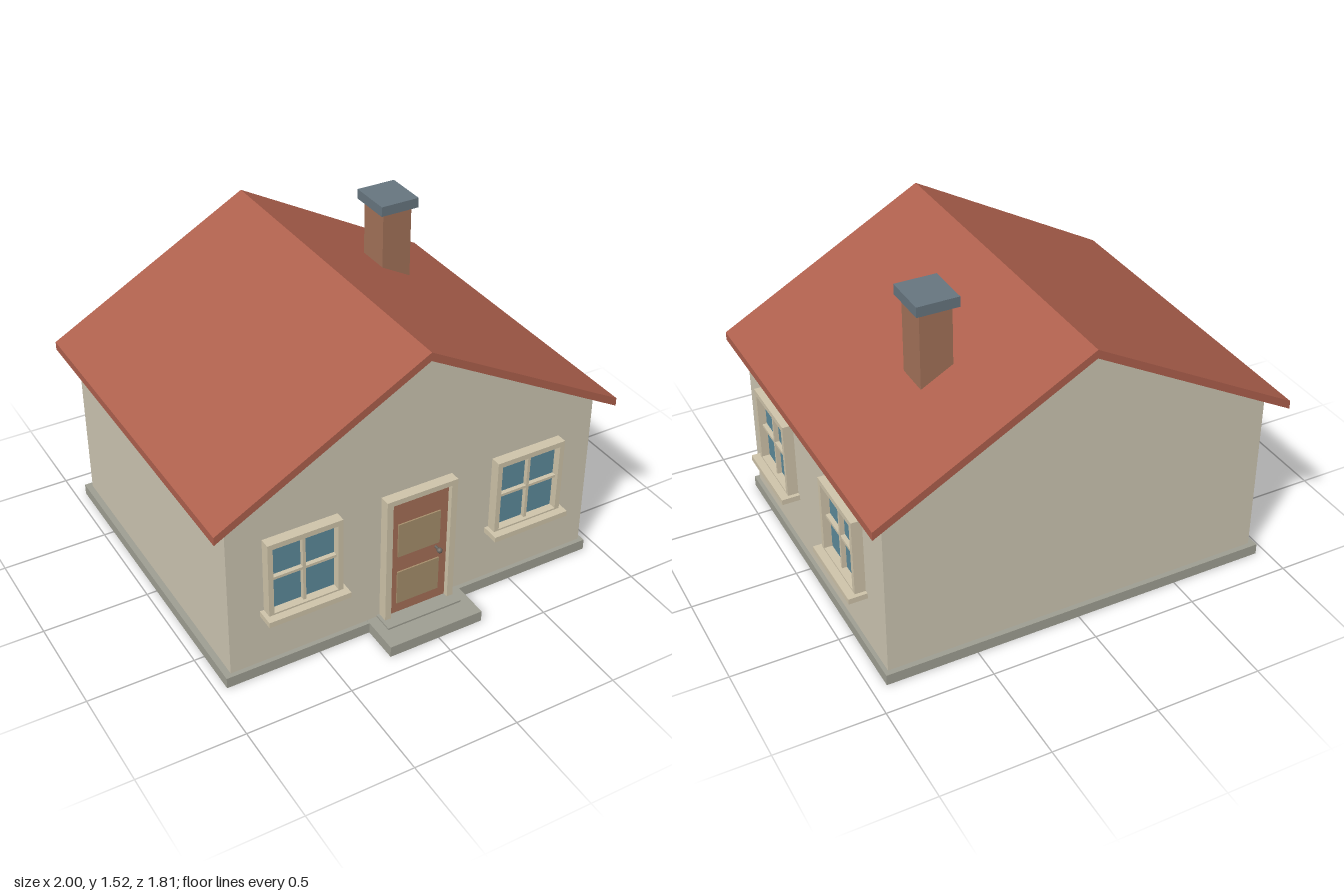
import * as THREE from 'three';

const mat = (name, color) => {
  const m = new THREE.MeshStandardMaterial({ color });
  m.name = name;
  return m;
};

export function createModel() {
  const wall = mat('cream wall', 0xcdc6b2);
  const trim = mat('window and door trim', 0xcfc4aa);
  const roofRed = mat('roof red', 0xae604d);
  const stone = mat('foundation stone', 0x9f9f93);
  const glass = mat('window glass', 0x5d8a9b);
  const wood = mat('door wood', 0xa66f57);
  const panelTan = mat('door panel tan', 0xa68f6c);
  const brick = mat('chimney brick', 0xa37259);
  const slate = mat('chimney cap slate', 0x677680);
  const metal = mat('knob metal', 0x6a6660);

  const house = new THREE.Group();
  house.name = 'house';

  const add = (parent, name, geometry, material) => {
    const mesh = new THREE.Mesh(geometry, material);
    mesh.name = name;
    parent.add(mesh);
    return mesh;
  };
  // Box given by its limits on each axis
  const box = (parent, name, material, x0, x1, y0, y1, z0, z1) => {
    const mesh = add(parent, name, new THREE.BoxGeometry(x1 - x0, y1 - y0, z1 - z0), material);
    mesh.position.set((x0 + x1) / 2, (y0 + y1) / 2, (z0 + z1) / 2);
    return mesh;
  };
  // Outline in x and y, extruded from z0 to z1
  const prism = (parent, name, material, points, z0, z1, hole) => {
    const toVectors = (list) => list.map(([x, y]) => new THREE.Vector2(x, y));
    const shape = new THREE.Shape(toVectors(points));
    if (hole) shape.holes.push(new THREE.Path(toVectors(hole)));
    const geometry = new THREE.ExtrudeGeometry(shape, { depth: z1 - z0, bevelEnabled: false });
    geometry.translate(0, 0, z0);
    return add(parent, name, geometry, material);
  };
  const rect = (x0, x1, y0, y1) => [[x0, y0], [x1, y0], [x1, y1], [x0, y1]];

  const ridgeX = -0.008;
  const frontZ = 0.702;
  const sideX = 0.911;

  // Foundation, steps and walls
  box(house, 'foundation', stone, -0.952, 0.93, 0, 0.053, -0.852, 0.724);
  box(house, 'frontStep', stone, -0.249, 0.225, 0, 0.054, 0.7, 0.905);
  box(house, 'threshold', stone, -0.2, 0.18, 0.053, 0.063, 0.69, 0.804);
  box(house, 'walls', wall, -0.922, sideX, 0.053, 0.905, -0.826, frontZ);
  prism(house, 'gable', wall, [[-0.922, 0.9], [sideX, 0.9], [ridgeX, 1.385]], -0.834, 0.708);

  // Roof: one slab per slope, with upright eaves
  for (const [name, eaveX] of [['leftRoofSlope', 0.983], ['rightRoofSlope', -1]]) {
    prism(house, name, roofRed,
      [[ridgeX, 1.376], [eaveX, 0.83], [eaveX, 0.87], [ridgeX, 1.416]], -0.905, 0.775);
  }

  // Chimney
  box(house, 'chimney', brick, 0.39, 0.54, 1.09, 1.476, -0.424, -0.257);
  box(house, 'chimneyCap', slate, 0.366, 0.562, 1.475, 1.523, -0.448, -0.232);

  // Window, built facing +z with the wall at z = 0
  const makeWindow = (name) => {
    const g = new THREE.Group();
    g.name = name;
    prism(g, 'windowFrame', trim, rect(-0.178, 0.178, 0.335, 0.711), -0.005, 0.05,
      rect(-0.154, 0.154, 0.345, 0.685));
    box(g, 'glass', glass, -0.155, 0.155, 0.344, 0.686, 0.005, 0.012);
    box(g, 'verticalBar', trim, -0.007, 0.007, 0.344, 0.686, 0.01, 0.034);
    box(g, 'horizontalBar', trim, -0.155, 0.155, 0.51, 0.523, 0.01, 0.033);
    box(g, 'sill', trim, -0.197, 0.197, 0.31, 0.337, -0.005, 0.087);
    house.add(g);
    return g;
  };
  [-0.577, 0.557].forEach((x, i) => {
    makeWindow('frontWindow' + (i + 1)).position.set(x, 0, frontZ);
  });
  [0.317, -0.447].forEach((z, i) => {
    const g = makeWindow('sideWindow' + (i + 1));
    g.position.set(sideX, 0, z);
    g.rotation.y = Math.PI / 2;
  });

  // Front door with frame, raised panels and knob
  const door = new THREE.Group();
  door.name = 'frontDoor';
  door.position.set(ridgeX, 0, frontZ);
  house.add(door);
  prism(door, 'doorFrame', trim,
    [[-0.177, 0.06], [-0.147, 0.06], [-0.147, 0.685], [0.147, 0.685],
      [0.147, 0.06], [0.177, 0.06], [0.177, 0.711], [-0.177, 0.711]], -0.005, 0.05);
  box(door, 'doorLeaf', wood, -0.147, 0.147, 0.062, 0.685, -0.005, 0.025);
  box(door, 'upperPanel', panelTan, -0.107, 0.107, 0.38, 0.556, 0.024, 0.032);
  box(door, 'lowerPanel', panelTan, -0.107, 0.107, 0.118, 0.294, 0.024, 0.032);
  const stem = add(door, 'knobStem', new THREE.CylinderGeometry(0.006, 0.006, 0.03, 12), metal);
  stem.rotation.x = Math.PI / 2;
  stem.position.set(0.091, 0.358, 0.038);
  add(door, 'knob', new THREE.SphereGeometry(0.013, 20, 14), metal).position.set(0.091, 0.358, 0.058);

  return house;
}
